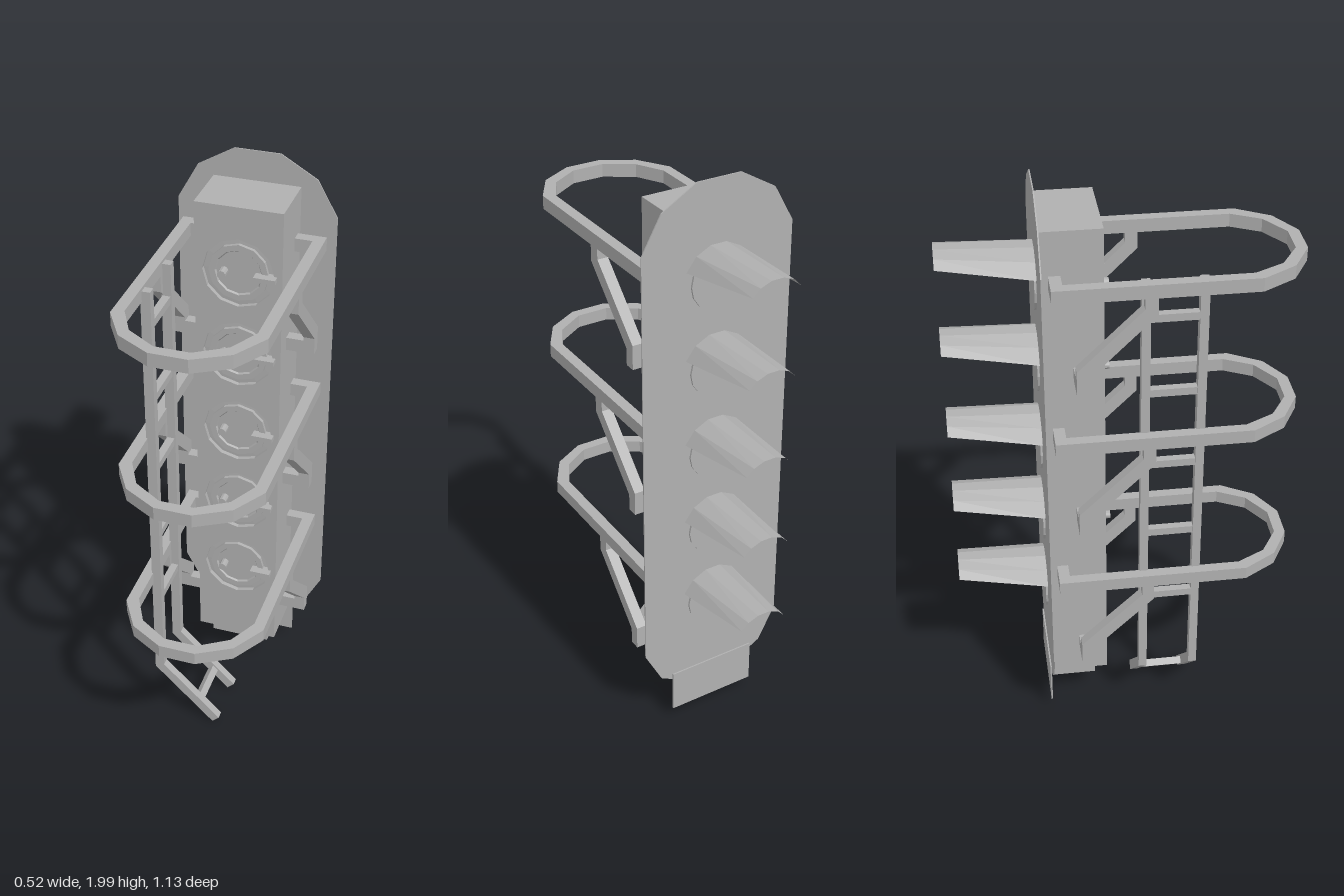
import * as THREE from 'three';

const metal = new THREE.MeshStandardMaterial({ color: 0xb0b0b0 });
metal.name = 'grey metal';
metal.flatShading = true;
const thin = metal.clone();
thin.name = 'grey sheet metal';
thin.side = THREE.DoubleSide;

const lampHeights = [0.49, 0.785, 1.08, 1.38, 1.675];
const hoopTops = [0.655, 1.215, 1.755];
const pts = (list) => list.map(([x, y]) => new THREE.Vector2(x, y));
const mirrorX = (list) => list.map(([x, y]) => [-x, y]).reverse();

export function createModel() {
  const model = new THREE.Group();
  model.name = 'signalHead';

  const add = (name, geometry, material = metal) => {
    const mesh = new THREE.Mesh(geometry, material);
    mesh.name = name;
    model.add(mesh);
    return mesh;
  };
  // Box given by its limits on each axis
  const box = (name, x0, x1, y0, y1, z0, z1) =>
    add(name, new THREE.BoxGeometry(x1 - x0, y1 - y0, z1 - z0))
      .position.set((x0 + x1) / 2, (y0 + y1) / 2, (z0 + z1) / 2);
  const extrude = (shape, depth) =>
    new THREE.ExtrudeGeometry(shape, { depth, bevelEnabled: false, curveSegments: 6 });

  // Backing plate with clipped round ends
  const half = [[0.075, 0.14], [0.2, 0.21], [0.262, 0.33], [0.262, 1.81], [0.195, 1.93], [0.075, 2]];
  add('backPlate', extrude(new THREE.Shape(pts([...half, ...mirrorX(half)])), 0.004)).position.z = -0.268;
  box('lowerPlate', -0.16, 0.157, 0.055, 0.21, -0.274, -0.269);

  // Housing: solid body plus a front sheet with round openings
  box('housing', -0.143, 0.143, 0.18, 1.9, -0.264, -0.085);
  const face = new THREE.Shape(pts([[-0.143, 0.18], [0.143, 0.18], [0.143, 1.9], [-0.143, 1.9]]));
  for (const y of lampHeights) {
    const ring = [];
    for (let i = 0; i < 12; i++) {
      const a = (i / 12) * Math.PI * 2;
      ring.push([0.118 * Math.sin(a), y + 0.118 * Math.cos(a)]);
    }
    face.holes.push(new THREE.Path(pts(ring)));
  }
  add('housingFront', extrude(face, 0.015)).position.z = -0.085;
  box('lowerHousing', -0.105, 0.105, 0.12, 0.18, -0.264, -0.11);

  // Visor: tapered arc sheet, wide at the plate
  const visorGeometry = () => {
    const pos = [], index = [], n = 5;
    for (let i = 0; i <= n; i++) {
      const a = THREE.MathUtils.degToRad(24 + (132 * i) / n);
      const x = 0.12 * Math.cos(a), y = 0.123 * Math.sin(a);
      pos.push(x, y, -0.268, x * 0.74, 0.09 + (y - 0.05) * 0.56, -0.568);
      if (i < n) index.push(2 * i, 2 * i + 1, 2 * i + 2, 2 * i + 1, 2 * i + 3, 2 * i + 2);
    }
    const g = new THREE.BufferGeometry();
    g.setAttribute('position', new THREE.Float32BufferAttribute(pos, 3));
    g.setIndex(index);
    g.computeVertexNormals();
    return g;
  };

  for (const y of lampHeights) {
    // Round access door, latch and knob
    const door = new THREE.LatheGeometry(
      pts([[0.118, -0.015], [0.098, -0.014], [0.098, -0.002], [0.078, -0.002], [0.074, -0.008], [0, -0.008]]), 12);
    door.rotateX(Math.PI / 2);
    add('lampDoor', door, thin).position.set(0, y, -0.07);
    box('doorLatch', 0.055, 0.126, y - 0.008, y + 0.008, -0.085, -0.045);
    const knob = new THREE.CylinderGeometry(0.014, 0.014, 0.035, 10).rotateX(Math.PI / 2);
    add('doorKnob', knob).position.set(-0.048, y, -0.0625);

    // Lens and visor on the far side
    const lens = new THREE.CylinderGeometry(0.095, 0.095, 0.008, 16).rotateX(Math.PI / 2);
    add('lens', lens).position.set(0, y, -0.271);
    add('visor', visorGeometry(), thin).position.y = y;
  }

  // Safety hoops, with braces and brackets on both sides
  const outer = [[0.14, -0.237], [0.237, -0.237], [0.237, 0.395], [0.17, 0.505], [0.06, 0.567]];
  const inner = [[0.14, -0.2], [0.2, -0.2], [0.2, 0.375], [0.15, 0.47], [0.055, 0.53]];
  const hoop = new THREE.Shape(pts([...outer, ...mirrorX(outer), ...mirrorX(inner).reverse(), ...inner.slice().reverse()]));
  const brace = [[0.08, 0], [0.08, -0.055], [-0.13, -0.262], [-0.13, -0.32],
    [-0.167, -0.32], [-0.167, -0.237], [0.04, -0.035], [0.04, 0]];
  for (const top of hoopTops) {
    add('hoop', extrude(hoop, 0.045).rotateX(Math.PI / 2)).position.y = top;
    for (const side of [-1, 1]) {
      const g = extrude(new THREE.Shape(pts(brace)), 0.037).rotateY(-Math.PI / 2);
      add('hoopBrace', g).position.set(side > 0 ? 0.237 : -0.2, top - 0.045, 0);
      const x0 = side > 0 ? 0.14 : -0.2;
      box('braceBracket', x0, x0 + 0.06, top - 0.365, top - 0.32, -0.167, -0.13);
    }
  }

  // Ladder with bent foot
  const rail = [[-0.205, 1.745], [-0.205, 0.22], [0.006, 0.006], [0.03, 0.03], [-0.173, 0.235], [-0.173, 1.745]];
  for (const z of [0.035, 0.212])
    add('ladderRail', extrude(new THREE.Shape(pts(rail)), 0.028)).position.z = z;
  for (const y of [0.542, 0.812, 1.087, 1.357, 1.622])
    box('ladderRung', -0.202, -0.176, y - 0.013, y + 0.013, 0.06, 0.215);
  const footRung = add('footRung', new THREE.BoxGeometry(0.026, 0.026, 0.155));
  footRung.position.set(-0.05, 0.083, 0.1375);
  footRung.rotation.z = Math.PI / 4;

  return model;
}
